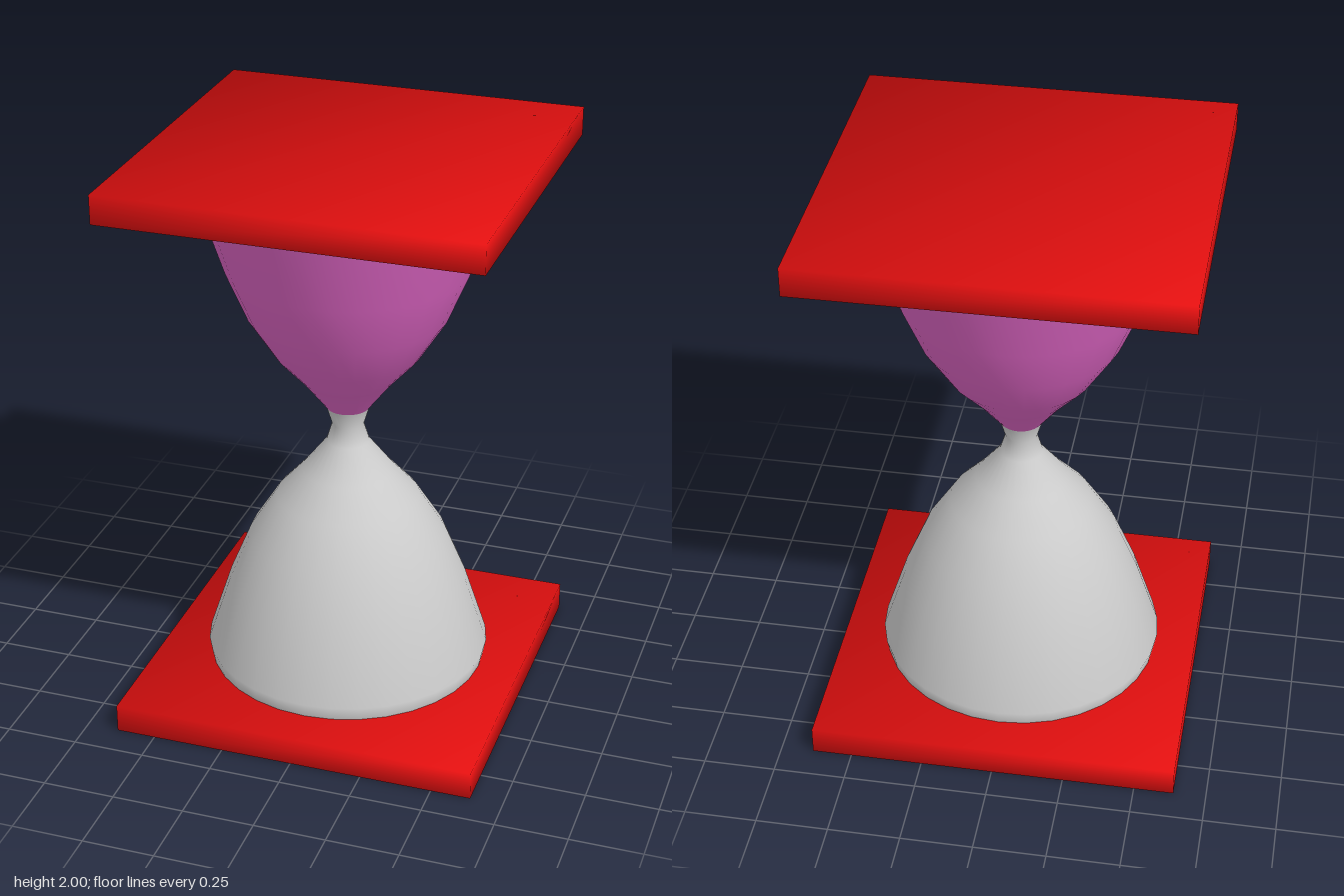
import * as THREE from 'three';

const mat = (name, color) => {
  const m = new THREE.MeshStandardMaterial({ color });
  m.name = name;
  return m;
};

export function createModel() {
  const group = new THREE.Group();
  group.name = 'hourglass';
  const red = mat('red', 0xe61010);
  const glass = mat('pale grey', 0xcccccc);
  const sand = mat('pink', 0xe066c6);

  const add = (name, geometry, material, y = 0) => {
    const mesh = new THREE.Mesh(geometry, material);
    mesh.name = name;
    mesh.position.y = y;
    group.add(mesh);
  };

  // Square end plates, with normals smoothed across the corners
  const plate = new THREE.BoxGeometry(1.275, 0.1, 1.275);
  const p = plate.attributes.position;
  const n = plate.attributes.normal;
  const k = 1 / Math.sqrt(3);
  for (let i = 0; i < p.count; i++) {
    n.setXYZ(i, Math.sign(p.getX(i)) * k, Math.sign(p.getY(i)) * k, Math.sign(p.getZ(i)) * k);
  }
  add('bottomPlate', plate, red, 0.05);
  add('topPlate', plate, red, 1.95);

  // Bulb profile as [radius, height], mirrored about the waist at y = 1
  const half = [[0.49, 0.1], [0.5, 0.15], [0.42, 0.395], [0.345, 0.575],
    [0.25, 0.725], [0.16, 0.825], [0.075, 0.935]];
  const upper = half.map(([r, y]) => [r, 2 - y]).reverse();
  const turned = (points) =>
    new THREE.LatheGeometry(points.map(([r, y]) => new THREE.Vector2(r, y)), 32);

  add('lowerBulbAndNeck', turned([...half, [0.055, 1], upper[0]]), glass);
  add('upperSand', turned(upper.slice(0, 6)), sand);
  add('upperGlassRim', turned(upper.slice(5)), glass);

  return group;
}
